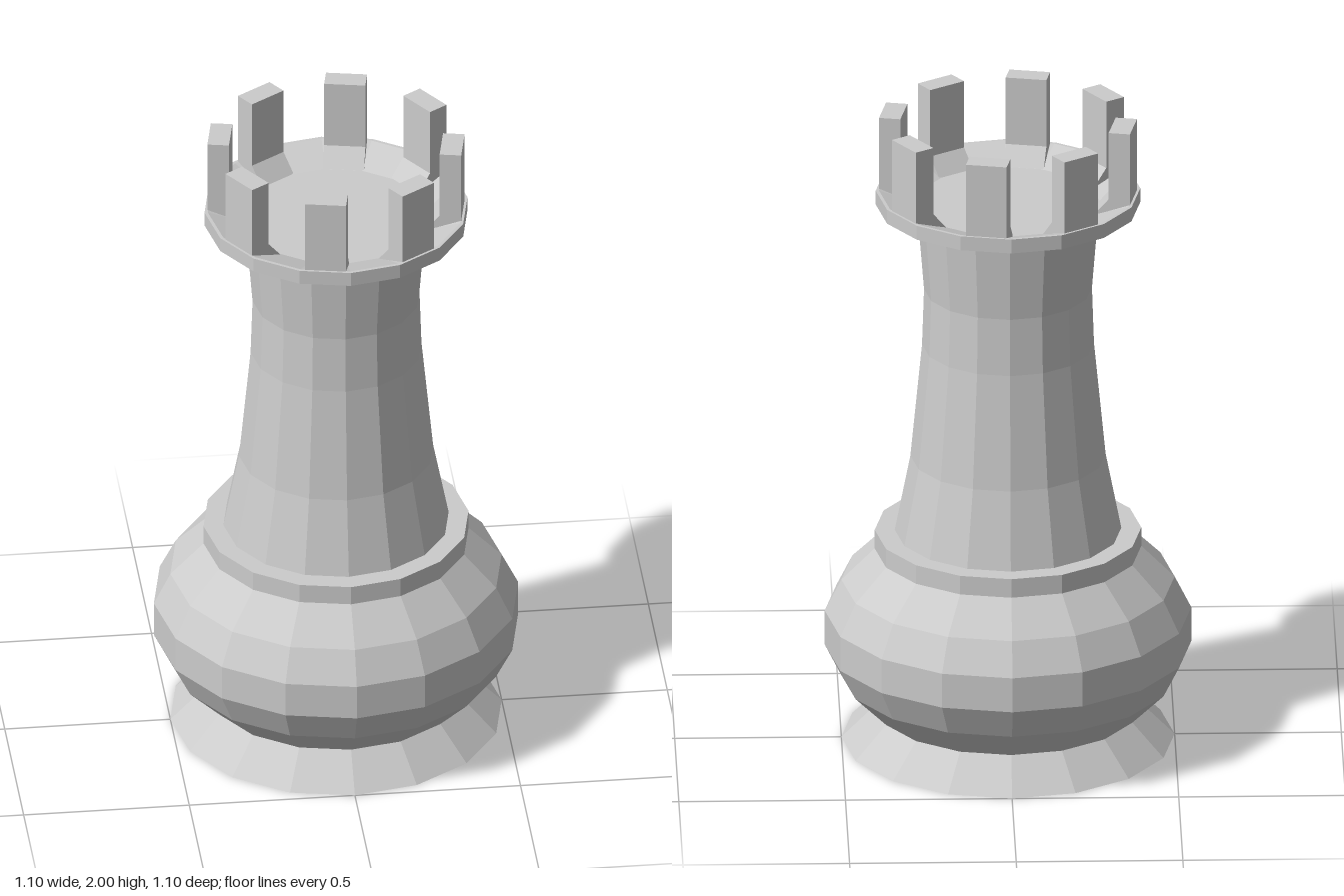
import * as THREE from 'three';

const SIDES = 16;
const MERLONS = 8;

export function createModel() {
  const group = new THREE.Group();
  const material = new THREE.MeshStandardMaterial({ color: 0xcccccc, flatShading: true });

  // Turned part from [radius, height] pairs, listed from bottom to top
  const turned = (name, profile) => {
    const points = profile.map(([r, y]) => new THREE.Vector2(r, y));
    const mesh = new THREE.Mesh(new THREE.LatheGeometry(points, SIDES), material);
    mesh.name = name;
    group.add(mesh);
  };

  // Flared foot
  turned('foot', [[0, 0], [0.5, 0], [0.4, 0.1]]);

  // Bulging base with a collar on top
  turned('base', [
    [0.4, 0.1], [0.5, 0.2], [0.55, 0.3], [0.55, 0.41], [0.5, 0.51],
    [0.4, 0.61], [0.4, 0.67], [0.335, 0.67],
  ]);

  // Waisted tower
  turned('tower', [
    [0.34, 0.67], [0.293, 0.91], [0.258, 1.27], [0.252, 1.45], [0.274, 1.725],
  ]);

  // Overhanging rim with a dished floor
  turned('rim', [
    [0.27, 1.725], [0.397, 1.725], [0.397, 1.77], [0.387, 1.77], [0.275, 1.73], [0, 1.73],
  ]);

  // Battlements: one cross-section, extruded across and repeated around the rim
  const section = new THREE.Shape([
    [0.27, 1.73], [0.382, 1.73], [0.382, 2], [0.317, 2], [0.317, 1.785],
  ].map(([x, y]) => new THREE.Vector2(x, y)));
  const width = 0.124;
  const merlonGeometry = new THREE.ExtrudeGeometry(section, { depth: width, bevelEnabled: false });
  merlonGeometry.translate(0, 0, -width / 2);

  const battlements = new THREE.Group();
  battlements.name = 'battlements';
  for (let i = 0; i < MERLONS; i++) {
    const merlon = new THREE.Mesh(merlonGeometry, material);
    merlon.name = 'merlon';
    merlon.rotation.y = (i / MERLONS) * Math.PI * 2 - Math.PI / SIDES;
    battlements.add(merlon);
  }
  group.add(battlements);

  return group;
}
